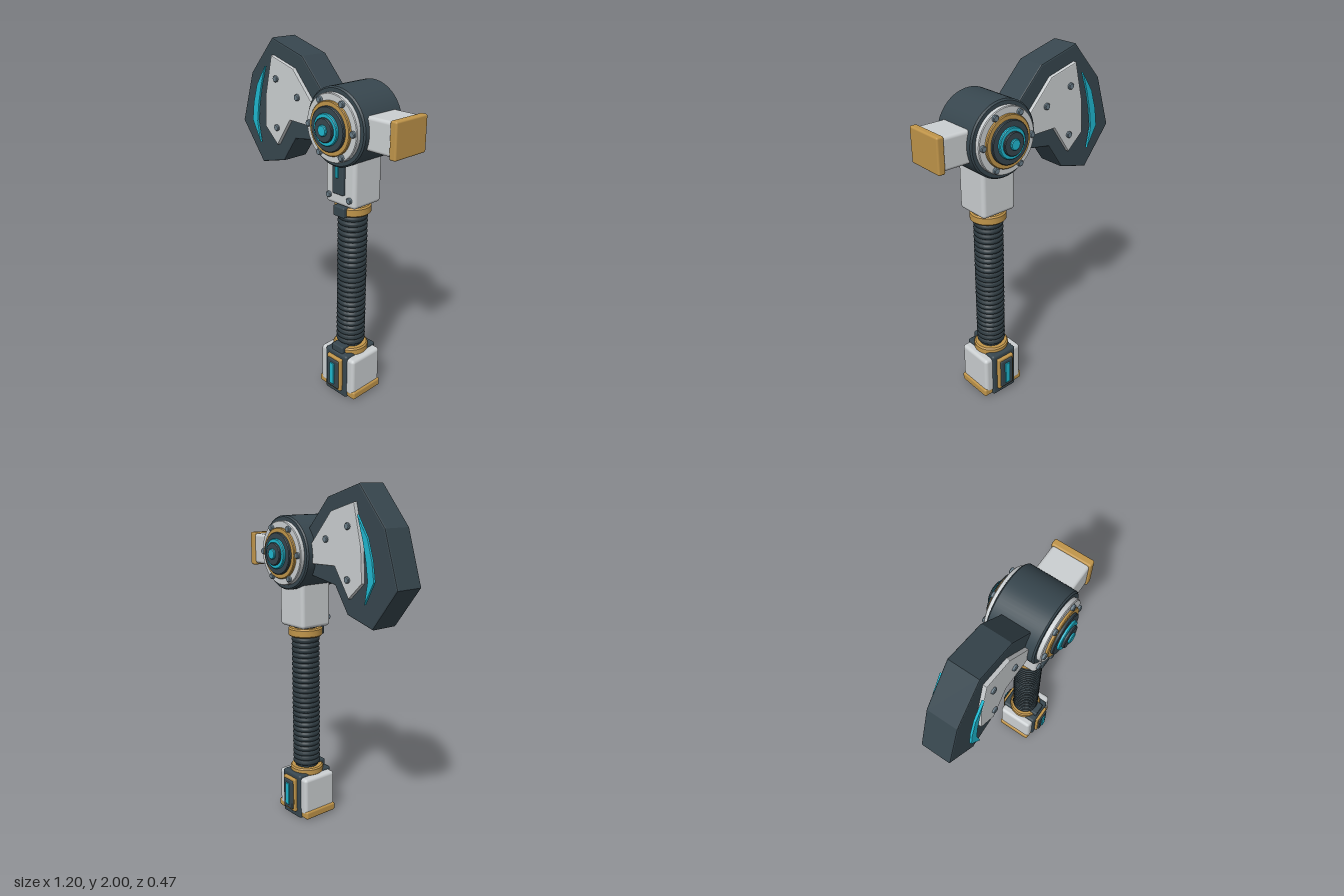
import * as THREE from 'three';
import { toCreasedNormals } from 'three/addons/utils/BufferGeometryUtils.js';
import { RoundedBoxGeometry } from 'three/addons/geometries/RoundedBoxGeometry.js';

const mat = (name, color) => {
  const m = new THREE.MeshStandardMaterial({ color });
  m.name = name;
  return m;
};

export function createModel() {
  const dark = mat('dark slate', 0x37464e);
  const grip = mat('grip charcoal', 0x2c383e);
  const grey = mat('light grey', 0xcbcfd1);
  const gold = mat('bronze gold', 0xc0954a);
  const cyan = mat('glow cyan', 0x1fb8d0);
  const steel = mat('bolt steel', 0x6c7f8b);

  const root = new THREE.Group();
  root.name = 'axe';
  const CX = 0.222, HY = 1.62; // shaft axis and hub height

  const add = (name, geo, m, x = 0, y = 0, z = 0) => {
    const mesh = new THREE.Mesh(geo, m);
    mesh.name = name;
    mesh.position.set(x, y, z);
    root.add(mesh);
    return mesh;
  };

  // Rounded box given by its limits
  const box = (name, m, x0, x1, y0, y1, z0, z1, r = 0.01) =>
    add(name, new RoundedBoxGeometry(x1 - x0, y1 - y0, z1 - z0, 3, r), m,
      (x0 + x1) / 2, (y0 + y1) / 2, (z0 + z1) / 2);

  // Solid disc of revolution with chamfered rims, from y0 to y1
  const discGeo = (r, y0, y1, c, seg = 48) => toCreasedNormals(new THREE.LatheGeometry([
    [0, y0], [r - c, y0], [r, y0 + c], [r, y1 - c], [r - c, y1], [0, y1],
  ].map(p => new THREE.Vector2(...p)), seg), 0.6);

  // Disc facing front (side 1) or back (side -1)
  const disc = (name, m, r, x, y, z0, z1, side = 1, c = 0.004, seg = 48) => {
    const mesh = add(name, discGeo(r, z0, z1, c, seg), m, x, y, 0);
    mesh.rotation.x = side * Math.PI / 2;
    return mesh;
  };

  // Extruded outline between z0 and z1 with bevelled edges
  const slab = (name, m, pts, z0, z1, b) => {
    const shape = new THREE.Shape(pts.map(p => new THREE.Vector2(...p)));
    const geo = new THREE.ExtrudeGeometry(shape, {
      depth: z1 - z0 - 2 * b, bevelEnabled: true, bevelThickness: b,
      bevelSize: b, bevelOffset: -b, bevelSegments: 2,
    });
    return add(name, geo, m, 0, 0, z0 + b);
  };

  // Blade
  slab('blade', dark, [
    [-0.32, 2.0], [-0.505, 1.79], [-0.6, 1.5], [-0.43, 1.28], [-0.24, 1.33],
    [-0.14, 1.475], [0.08, 1.51], [0.08, 1.76], [-0.08, 1.93],
  ], -0.085, 0.085, 0.008);

  const platePts = [
    [-0.305, 1.91], [-0.36, 1.69], [-0.37, 1.51], [-0.27, 1.42],
    [-0.16, 1.58], [0.03, 1.575], [0.03, 1.685], [-0.13, 1.86],
  ];
  const edgePts = [
    [-0.345, 1.85], [-0.42, 1.74], [-0.455, 1.63], [-0.47, 1.53],
    [-0.405, 1.41], [-0.425, 1.53], [-0.41, 1.63], [-0.385, 1.73],
  ];
  for (const s of [1, -1]) {
    const zs = (a, b) => (s > 0 ? [a, b] : [-b, -a]);
    // Cheek plate, bolts and glowing edge on the blade
    slab('bladePlate', grey, platePts, ...zs(0.08, 0.107), 0.005);
    slab('bladeGlow', cyan, edgePts, ...zs(0.106, 0.12), 0.003);
    for (const [x, y] of [[-0.265, 1.79], [-0.095, 1.715], [-0.265, 1.52]])
      disc('bladeBolt', steel, 0.018, x, y, 0.1, 0.12, s, 0.004, 16);

    // Stepped rings on the hub
    const rings = [
      ['hubRing', grey, 0.178, 0.13, 0.168], ['hubGoldRing', gold, 0.141, 0.16, 0.183],
      ['hubDarkRing', dark, 0.116, 0.17, 0.198], ['hubGlowRing', cyan, 0.083, 0.19, 0.212],
      ['hubDarkCap', dark, 0.063, 0.2, 0.225],
    ];
    for (const [n, m, r, a, b] of rings) disc(n, m, r, CX, HY, a, b, s);
    disc('hubGlowCore', cyan, 0.03, CX, HY, 0.21, 0.236, s, 0.004, 12);
    for (let i = 0; i < 6; i++) {
      const a = i * Math.PI / 3;
      disc('hubBolt', steel, 0.017, CX + 0.156 * Math.cos(a), HY + 0.156 * Math.sin(a),
        0.16, 0.184, s, 0.004, 16);
    }

    // Pommel inlay
    box('pommelFrame', gold, 0.167, 0.278, 0.042, 0.257, ...zs(0.11, 0.14), 0.006);
    box('pommelInlay', dark, 0.18, 0.265, 0.056, 0.242, ...zs(0.12, 0.15), 0.006);
    box('pommelGlow', cyan, 0.206, 0.239, 0.08, 0.222, ...zs(0.14, 0.158), 0.004);

    // Pommel side blocks and feet
    const xs = (a, b) => (s > 0 ? [CX + a, CX + b] : [CX - b, CX - a]);
    box('pommelSide', grey, ...xs(0.05, 0.131), 0.03, 0.27, -0.113, 0.113, 0.02);
    box('pommelFoot', gold, ...xs(0.08, 0.141), 0.01, 0.06, -0.112, 0.112, 0.012);

    // Bolts on the front of the neck
    disc('neckBolt', steel, 0.017, CX + s * 0.075, 1.238, 0.095, 0.118, 1, 0.004, 16);
  }

  // Hub drum
  disc('hub', dark, 0.206, CX, HY, -0.142, 0.142, 1, 0.008, 64);

  // Hammer poll
  box('poll', grey, 0.38, 0.57, 1.53, 1.705, -0.109, 0.109, 0.018);
  box('pollCap', gold, 0.558, 0.6, 1.52, 1.713, -0.116, 0.116, 0.01);

  // Neck with front indicator
  box('neck', grey, 0.115, 0.332, 1.19, 1.5, -0.104, 0.104, 0.022);
  box('neckPanel', dark, 0.182, 0.263, 1.257, 1.46, 0.09, 0.122, 0.008);
  box('neckGlow', cyan, 0.214, 0.231, 1.35, 1.42, 0.11, 0.131, 0.003);

  // Collars with front clips
  add('upperCollar', discGeo(0.1, 1.13, 1.182, 0.008), gold, CX);
  box('upperClip', dark, 0.182, 0.263, 1.128, 1.187, 0.05, 0.113, 0.008);
  add('lowerCollar', discGeo(0.1, 0.265, 0.312, 0.008), gold, CX);
  box('lowerClip', dark, 0.18, 0.265, 0.265, 0.325, 0.05, 0.113, 0.008);

  // Ribbed grip
  const ribs = 26, y0 = 0.325, pitch = 0.8 / ribs;
  const profile = [new THREE.Vector2(0, 0.27), new THREE.Vector2(0.07, 0.27)];
  for (let i = 0; i < ribs; i++) {
    for (let k = 0; k < 6; k++) {
      profile.push(new THREE.Vector2(0.069 + 0.014 * Math.sin(Math.PI * k / 6),
        y0 + pitch * (i + 0.5 - 0.5 * Math.cos(Math.PI * k / 6))));
    }
  }
  profile.push(new THREE.Vector2(0.069, 1.125), new THREE.Vector2(0.07, 1.21), new THREE.Vector2(0, 1.21));
  add('grip', toCreasedNormals(new THREE.LatheGeometry(profile, 40), 0.9), grip, CX);

  // Pommel core
  box('pommelCore', dark, 0.137, 0.307, 0.0, 0.285, -0.122, 0.122, 0.015);

  return root;
}
